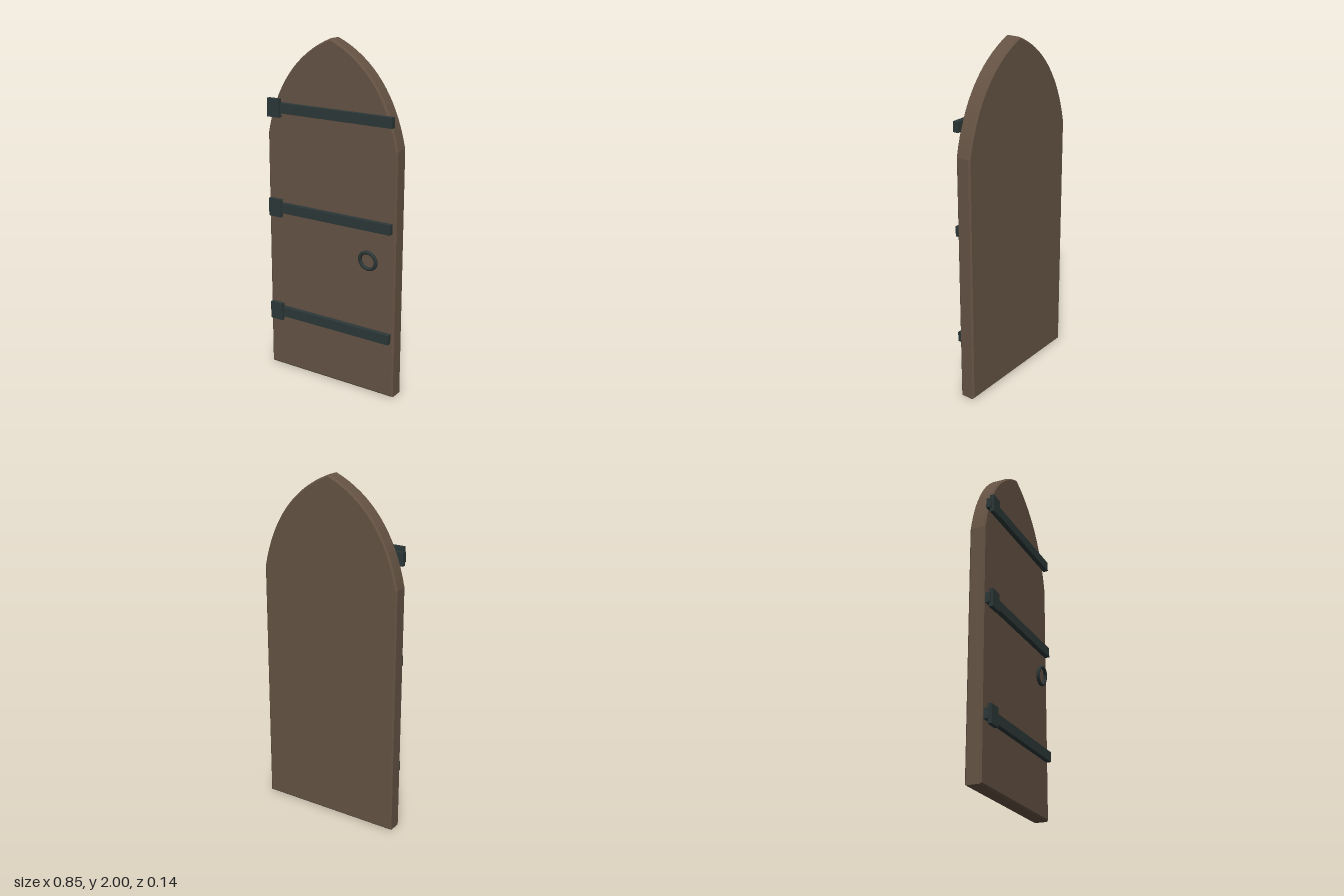
import * as THREE from 'three';

const wood = new THREE.MeshStandardMaterial({ color: 0x655344 });
wood.name = 'brown wood';
const iron = new THREE.MeshStandardMaterial({ color: 0x2d3838 });
iron.name = 'dark iron';

function addMesh(parent, name, geometry, material, x, y, z) {
  const mesh = new THREE.Mesh(geometry, material);
  mesh.name = name;
  mesh.position.set(x, y, z);
  parent.add(mesh);
  return mesh;
}

export function createModel() {
  const model = new THREE.Group();
  model.name = 'archedDoor';

  // Door leaf: pointed arch outline with a small bevel
  const w = 0.427, spring = 1.44, bevel = 0.009;
  const outline = new THREE.Shape();
  outline.moveTo(-w, 0);
  outline.lineTo(w, 0);
  outline.lineTo(w, spring);
  outline.quadraticCurveTo(0.34, 1.86, 0, 2);
  outline.quadraticCurveTo(-0.34, 1.86, -w, spring);
  outline.closePath();
  const leaf = new THREE.ExtrudeGeometry(outline, {
    depth: 0.073, curveSegments: 16, bevelEnabled: true,
    bevelThickness: bevel, bevelSize: bevel, bevelOffset: -bevel, bevelSegments: 1,
  });
  addMesh(model, 'doorLeaf', leaf, wood, 0, 0, -0.064);

  // Iron straps, each with a hinge plate at the right-hand edge
  for (const y of [0.363, 1.01, 1.595]) {
    const hinge = new THREE.Group();
    hinge.name = 'hinge';
    hinge.position.y = y;
    addMesh(hinge, 'strap', new THREE.BoxGeometry(0.817, 0.058, 0.031), iron, -0.001, 0, 0.0315);
    addMesh(hinge, 'hingePlate', new THREE.BoxGeometry(0.082, 0.106, 0.023), iron, -0.359, 0, 0.0465);
    model.add(hinge);
  }

  // Ring handle, tilted slightly away from the door at the top
  const ring = addMesh(model, 'ringHandle', new THREE.TorusGeometry(0.051, 0.0105, 10, 28), iron, 0.274, 0.812, 0.052);
  ring.rotation.x = 0.13;

  return model;
}
